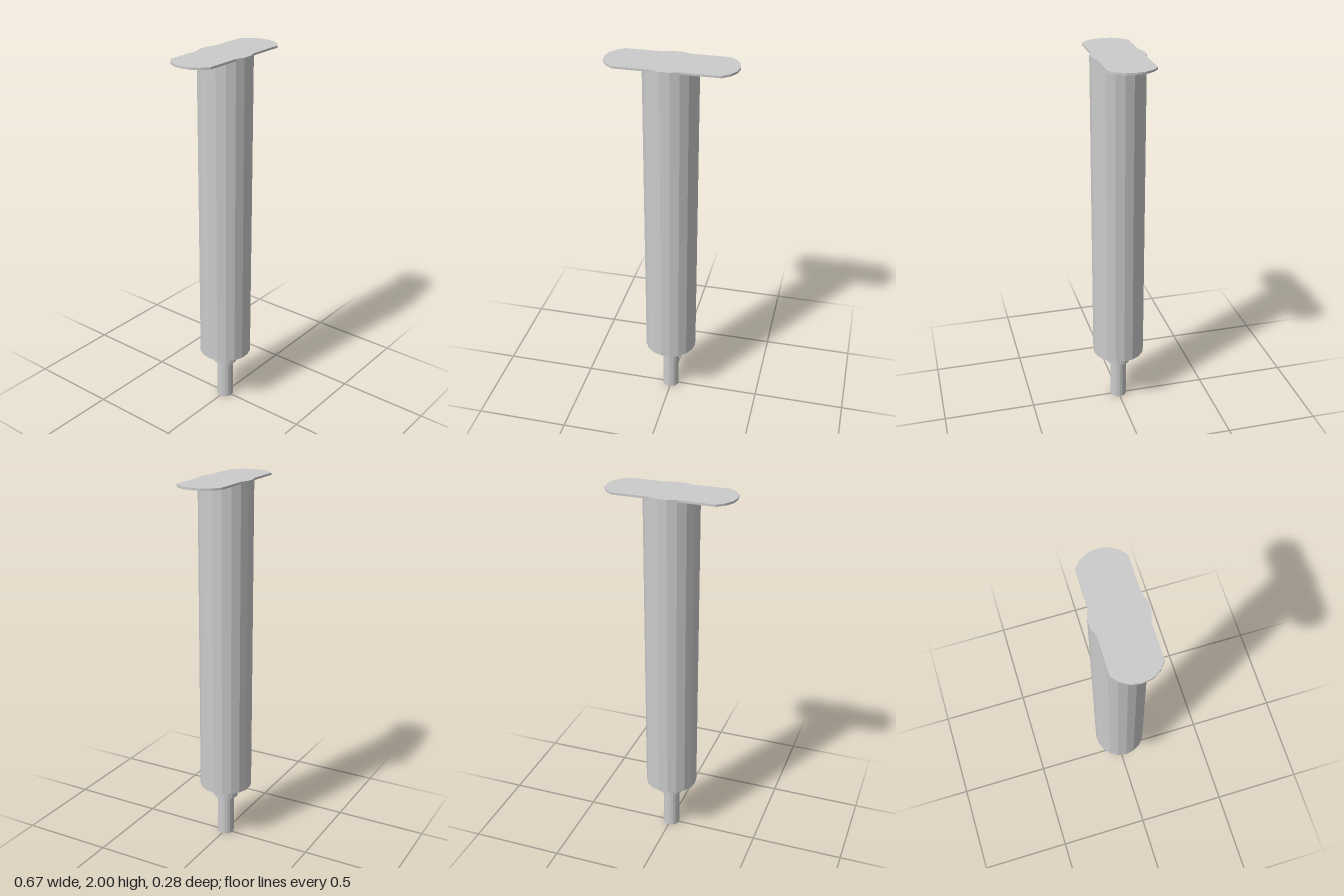
import * as THREE from 'three';

const SIDES = 18;
const AXIS_X = -0.003; // the barrel sits a hair off the flange centre

export function createModel() {
  const group = new THREE.Group();
  const material = new THREE.MeshStandardMaterial({ color: 0xcccccc, flatShading: true });

  const add = (name, geometry) => {
    const mesh = new THREE.Mesh(geometry, material);
    mesh.name = name;
    group.add(mesh);
  };

  // Upright faceted cylinder with a flat side towards the front
  const addCylinder = (name, radius, bottom, top) => {
    const geometry = new THREE.CylinderGeometry(radius, radius, top - bottom, SIDES, 1, false, Math.PI / SIDES);
    geometry.translate(AXIS_X, (bottom + top) / 2, 0);
    add(name, geometry);
  };

  addCylinder('nozzleTip', 0.045, 0, 0.23);
  addCylinder('nozzleCollar', 0.067, 0.23, 0.302);
  addCylinder('barrel', 0.1416, 0.302, 2);

  // Finger flange: thin plate with faceted round ends
  const end = [[0.265, -0.123], [0.302, -0.092], [0.328, -0.048], [0.335, 0], [0.328, 0.048], [0.302, 0.092], [0.265, 0.123]];
  const outline = [...end, ...end.map(([x, z]) => [-x, -z])].map(([x, z]) => new THREE.Vector2(x, z));
  const thickness = 0.011;
  const flange = new THREE.ExtrudeGeometry(new THREE.Shape(outline), { depth: thickness, bevelEnabled: false });
  flange.rotateX(-Math.PI / 2).translate(0, 2 - thickness, 0);
  add('fingerFlange', flange);

  return group;
}
